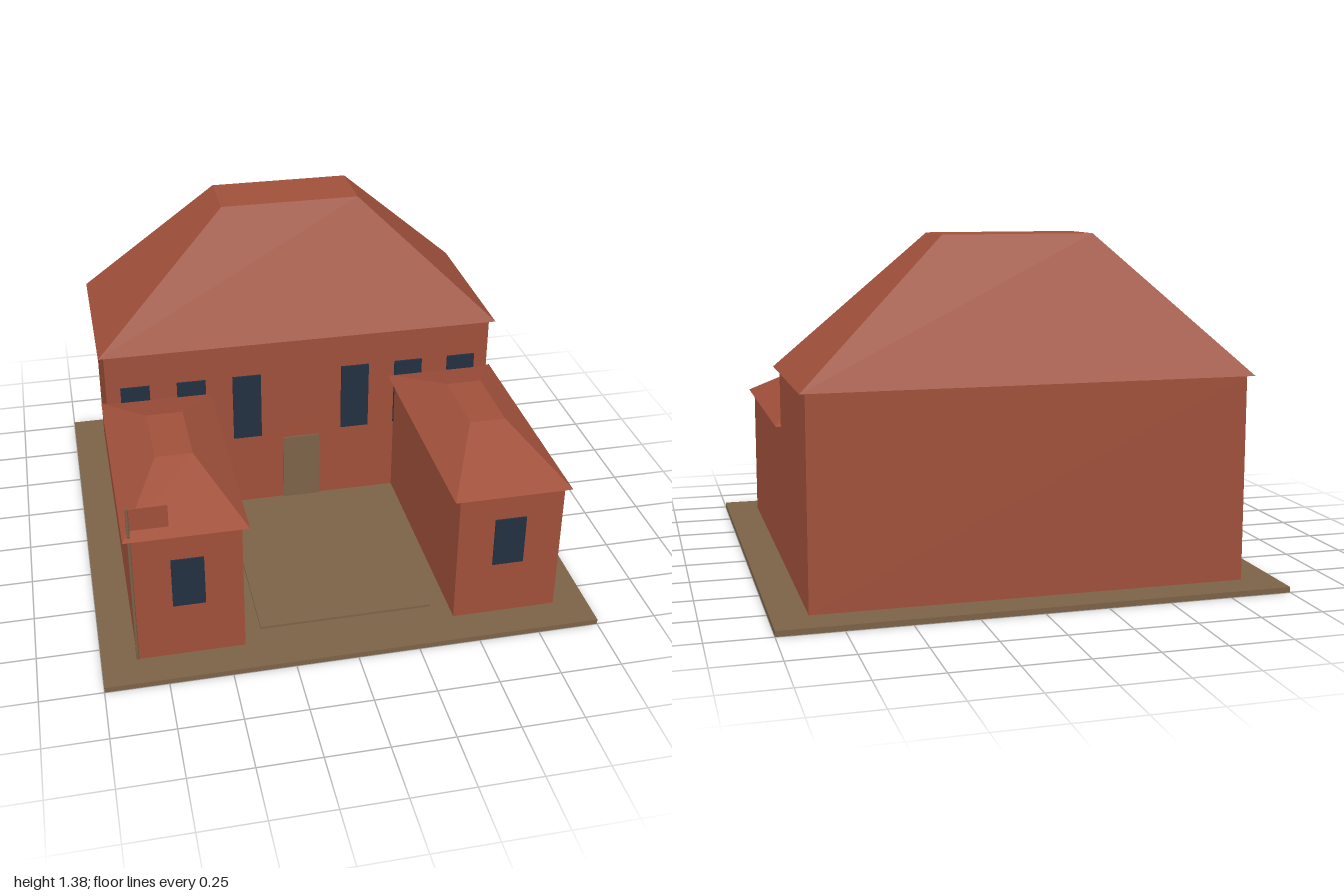
import * as THREE from 'three';

export function createModel() {
  const model = new THREE.Group();
  const paint = (name, color) => {
    const m = new THREE.MeshStandardMaterial({ color });
    m.name = name;
    return m;
  };
  const brick = paint('brickRed', 0xa0503a);
  const earth = paint('earthBrown', 0x7c6248);
  const glass = paint('darkGlass', 0x233040);

  const add = (name, geometry, material) => {
    const mesh = new THREE.Mesh(geometry, material);
    mesh.name = name;
    model.add(mesh);
    return mesh;
  };
  // Box given by its limits on each axis
  const block = (name, material, [x0, x1], [y0, y1], [z0, z1]) => {
    const g = new THREE.BoxGeometry(x1 - x0, y1 - y0, z1 - z0);
    g.translate((x0 + x1) / 2, (y0 + y1) / 2, (z0 + z1) / 2);
    return add(name, g, material);
  };
  // Hipped roof with a flat top: a box whose upper corners are pulled inwards
  const hipRoof = (name, [x0, x1], [z0, z1], [tx0, tx1], [tz0, tz1], y0, y1) => {
    const g = new THREE.BoxGeometry(1, 1, 1).toNonIndexed();
    const p = g.attributes.position;
    for (let i = 0; i < p.count; i++) {
      const right = p.getX(i) > 0, top = p.getY(i) > 0, front = p.getZ(i) > 0;
      const x = top ? (right ? tx1 : tx0) : (right ? x1 : x0);
      const z = top ? (front ? tz1 : tz0) : (front ? z1 : z0);
      p.setXYZ(i, x, top ? y1 : y0, z);
    }
    g.computeVertexNormals();
    return add(name, g, brick);
  };

  // Ground slab and courtyard paving
  block('groundSlab', earth, [-1, 1], [0, 0.022], [-1, 1]);
  block('courtyard', earth, [-0.355, 0.355], [0.022, 0.032], [-0.075, 0.78]);

  // Main hall
  block('mainHall', brick, [-0.86, 0.86], [0.022, 0.84], [-0.858, -0.14]);
  hipRoof('mainRoof', [-0.883, 0.883], [-0.883, -0.117], [-0.3, 0.3], [-0.63, -0.37], 0.84, 1.385);
  block('frontDoor', earth, [-0.083, 0.083], [0.022, 0.34], [-0.141, -0.132]);

  // Mirrored wings and windows
  for (const s of [-1, 1]) {
    const side = s > 0 ? 'left' : 'right';
    const span = (a, b) => (s > 0 ? [a, b] : [-b, -a]);
    block(side + 'Wing', brick, span(0.43, 0.86), [0.022, 0.6], [-0.145, 0.86]);
    hipRoof(side + 'WingRoof', span(0.403, 0.883), [-0.163, 0.883], span(0.567, 0.717), [0.197, 0.52], 0.598, 0.73);
    block(side + 'WingWindow', glass, span(0.58, 0.708), [0.263, 0.48], [0.858, 0.866]);
    for (let i = 1; i <= 3; i++) {
      const x = 0.245 * i;
      block(side + 'HallWindow' + i, glass, span(x - 0.063, x + 0.063), [0.365, 0.678], [-0.141, -0.132]);
    }
  }

  // Flagpole and flag on the right front corner
  const pole = add('flagpole', new THREE.CylinderGeometry(0.006, 0.006, 0.713, 8), earth);
  pole.position.set(-0.858, 0.3785, 0.86);
  block('flag', brick, [-0.853, -0.706], [0.635, 0.73], [0.854, 0.858]);

  return model;
}
